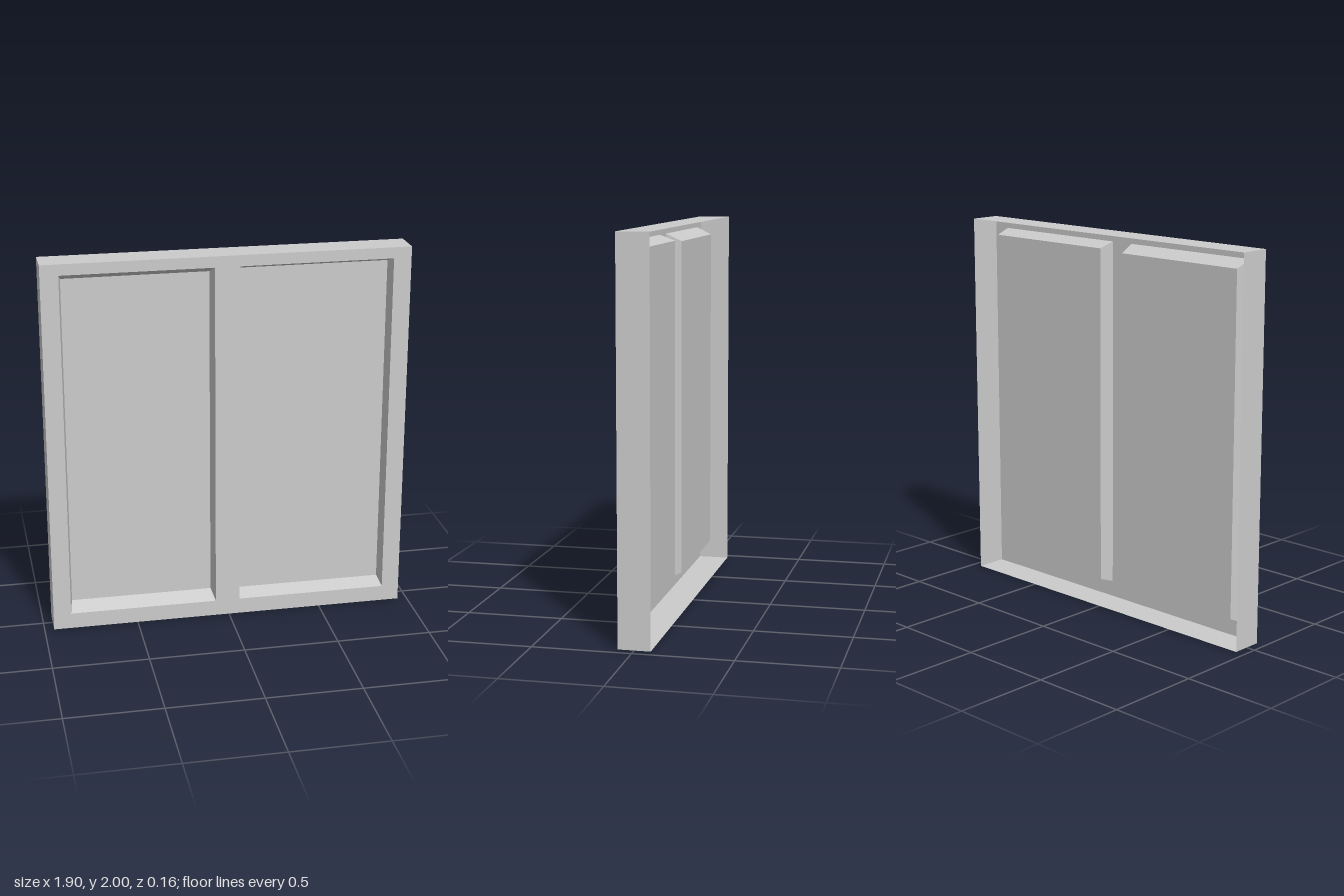
import * as THREE from 'three';

const material = new THREE.MeshStandardMaterial({ color: 0xcccccc, flatShading: true, side: THREE.DoubleSide });
const FRONT = 0.082, BACK = -0.082, PANEL = 0;

// Rectangles are [left, bottom, right, top]
const OUTLINE = [-0.95, 0, 0.95, 2];
const RECESSES = [
  { name: 'right', opening: [-0.857, 0.085, -0.073, 1.942], panel: [-0.842, 0.123, -0.087, 1.903] },
  { name: 'left', opening: [0.057, 0.085, 0.857, 1.942], panel: [0.068, 0.115, 0.847, 1.913] },
];

const corners = ([l, b, r, t]) => [[l, b], [r, b], [r, t], [l, t]];
const points = (rect) => corners(rect).map(([x, y]) => new THREE.Vector2(x, y));

// Four flat walls joining two rectangles at different depths
function walls(rectA, zA, rectB, zB) {
  const a = corners(rectA).map((p) => [...p, zA]);
  const b = corners(rectB).map((p) => [...p, zB]);
  const positions = [];
  for (let i = 0; i < 4; i++) {
    const j = (i + 1) % 4;
    positions.push(...a[i], ...b[i], ...b[j], ...a[i], ...b[j], ...a[j]);
  }
  const geometry = new THREE.BufferGeometry();
  geometry.setAttribute('position', new THREE.Float32BufferAttribute(positions, 3));
  geometry.computeVertexNormals();
  return geometry;
}

// Flat sheet facing the front, with optional rectangular holes
function sheet(rect, z, holes = []) {
  const shape = new THREE.Shape(points(rect));
  shape.holes = holes.map((hole) => new THREE.Path(points(hole).reverse()));
  return new THREE.ShapeGeometry(shape).translate(0, 0, z);
}

export function createModel() {
  const model = new THREE.Group();
  model.name = 'doublePanelWindow';
  const add = (name, geometry, parent = model) => {
    const mesh = new THREE.Mesh(geometry, material);
    mesh.name = name;
    parent.add(mesh);
  };

  // Thin frame shell, open at the back
  add('frameFace', sheet(OUTLINE, FRONT, RECESSES.map((r) => r.opening)));
  add('frameSides', walls(OUTLINE, FRONT, OUTLINE, BACK));

  // Tapered recesses, each closed by a flat panel
  for (const { name, opening, panel } of RECESSES) {
    const recess = new THREE.Group();
    recess.name = `${name}Recess`;
    add(`${name}Reveal`, walls(panel, PANEL, opening, FRONT), recess);
    add(`${name}Panel`, sheet(panel, PANEL), recess);
    model.add(recess);
  }
  return model;
}
